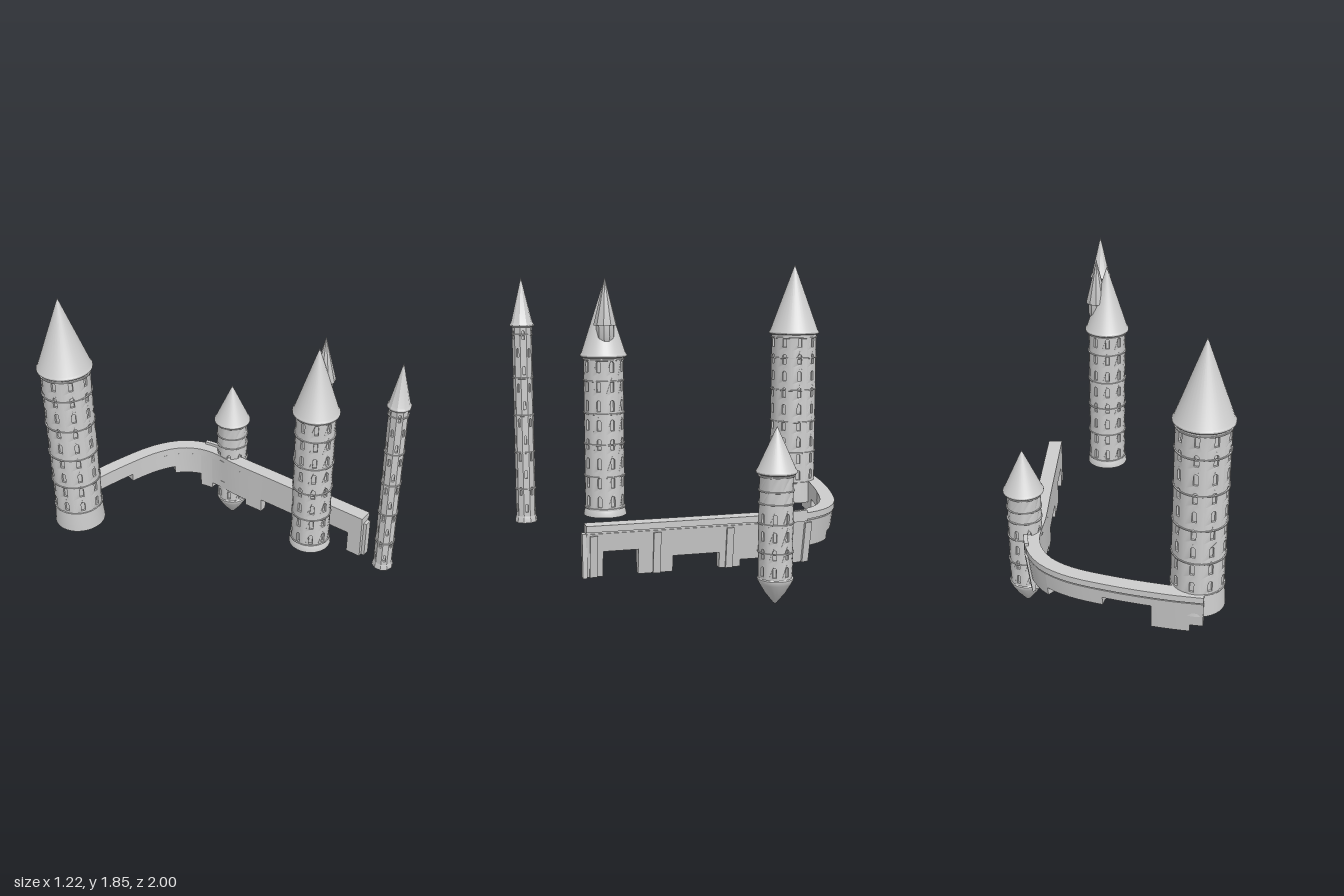
import * as THREE from 'three';
import { mergeGeometries, toCreasedNormals } from 'three/addons/utils/BufferGeometryUtils.js';

const grey = new THREE.MeshStandardMaterial({ color: 0xcccccc, side: THREE.DoubleSide });
const V2 = (x, y) => new THREE.Vector2(x, y);

function add(parent, name, geo, crease = 0.5) {
  const mesh = new THREE.Mesh(toCreasedNormals(geo, crease), grey);
  mesh.name = name;
  parent.add(mesh);
  return mesh;
}

function lathe(parent, name, pts, sides) {
  return add(parent, name, new THREE.LatheGeometry(pts.map(p => V2(...p)), sides));
}

// One wall panel with an optional arched window hole, bent round the tower or left flat
function bay(r, step, h, w, wh, hasWindow, flat) {
  const half = flat ? r * Math.sin(step / 2) : r * step / 2;
  const depth = 0.012;
  const s = new THREE.Shape();
  const xs = [-1, -0.5, 0, 0.5, 1].map(k => k * half);
  s.setFromPoints([...xs.map(x => V2(x, -h / 2)), ...xs.slice().reverse().map(x => V2(x, h / 2))]);
  if (hasWindow) {
    const hole = new THREE.Path();
    hole.moveTo(-w / 2, -wh / 2);
    hole.lineTo(-w / 2, wh / 2 - w / 2);
    hole.absarc(0, wh / 2 - w / 2, w / 2, Math.PI, 0, true);
    hole.lineTo(w / 2, -wh / 2);
    hole.closePath();
    s.holes.push(hole);
  }
  const g = new THREE.ExtrudeGeometry(s, { depth, bevelEnabled: false, curveSegments: 6 });
  if (flat) return g.translate(0, 0, r * Math.cos(step / 2) - depth);
  const p = g.attributes.position;
  for (let i = 0; i < p.count; i++) {
    const a = p.getX(i) / r, rho = r - depth + p.getZ(i);
    p.setXYZ(i, Math.sin(a) * rho, p.getY(i), Math.cos(a) * rho);
  }
  return g;
}

// Tower: foot, windowed wall, dark core behind the windows, string courses, roof
function tower(o) {
  const t = new THREE.Group();
  t.name = o.name;
  t.position.set(o.x, 0, o.z);
  const sides = o.flat ? o.n : 36;
  const step = Math.PI * 2 / o.n, h = (o.top - o.bottom) / o.rows;
  const panels = [];
  for (let row = 0; row < o.rows; row++) {
    for (let i = 0; i < o.n; i++) {
      const open = (!o.flat || (row + i) % 2 === 0) && row < (o.windowRows ?? o.rows);
      panels.push(bay(o.r, step, h, o.w, o.wh, open, o.flat)
        .rotateY(o.turn + i * step)
        .translate(0, o.bottom + (row + 0.5) * h, 0));
    }
  }
  add(t, 'wall', mergeGeometries(panels));
  lathe(t, 'core', [[o.r - 0.011, o.bottom], [o.r - 0.011, o.top]], sides);
  lathe(t, 'foot', o.foot, sides);
  for (const y of o.rings) {
    lathe(t, 'stringCourse', [[o.r - 0.003, y - 0.005], [o.r + 0.005, y - 0.003],
      [o.r + 0.005, y + 0.003], [o.r - 0.003, y + 0.005]], sides);
  }
  lathe(t, 'roof', [[0, o.top - 0.006], [o.roofR - 0.006, o.top - 0.006], [o.roofR, o.top],
    [o.roofR, o.top + 0.008], [o.roofR - 0.008, o.top + 0.02], [0, o.tip]], sides);
  return t;
}

// Sweeps a convex profile of [outward offset, y] along the wall path from s0 to s1
function sweep(path, s0, s1, profile) {
  const len = path.getLength(), steps = Math.max(1, Math.ceil((s1 - s0) / 0.05));
  const n = profile.length, pos = [], idx = [];
  for (let k = 0; k <= steps; k++) {
    const u = Math.min(1, (s0 + (s1 - s0) * k / steps) / len);
    const c = path.getPointAt(u), t = path.getTangentAt(u);
    for (const [off, y] of profile) pos.push(c.x + t.z * off, y, c.z - t.x * off);
  }
  for (let k = 0; k < steps; k++) {
    for (let i = 0; i < n; i++) {
      const a = k * n + i, b = k * n + (i + 1) % n;
      idx.push(a, b, b + n, a, b + n, a + n);
    }
  }
  const e = steps * n;
  for (let i = 1; i < n - 1; i++) idx.push(0, i + 1, i, e, e + i, e + i + 1);
  const g = new THREE.BufferGeometry();
  g.setAttribute('position', new THREE.Float32BufferAttribute(pos, 3));
  g.setIndex(idx);
  return g;
}

function curtainWall() {
  const wall = new THREE.Group();
  wall.name = 'curtainWall';
  const path = new THREE.CatmullRomCurve3([
    [-0.49, -0.96], [-0.31, -0.935], [-0.02, -0.87], [0.22, -0.79], [0.35, -0.7],
    [0.42, -0.59], [0.445, -0.47], [0.43, -0.28], [0.427, 0], [0.417, 0.66],
  ].map(([x, z]) => new THREE.Vector3(x, 0, z)), false, 'centripetal');
  const end = path.getLength();
  const outer = y => 0.038 - (0.45 - y) * 0.13;

  // Coping, shadow groove and stepped wall sections
  add(wall, 'coping', sweep(path, 0, end, [[-0.04, 0.46], [0.044, 0.46], [0.044, 0.495], [-0.04, 0.495]]));
  add(wall, 'groove', sweep(path, 0, end, [[-0.04, 0.448], [0.032, 0.448], [0.032, 0.462], [-0.04, 0.462]]));
  const sections = [[0.07, 0.30], [0.27, 0.255], [0.53, 0.40], [0.855, 0.35], [1.05, 0.30],
    [1.14, 0.21], [1.425, 0.25], [1.545, 0.21], [1.805, 0.30], [1.995, 0.21], [2.185, 0.35], [end, 0.21]];
  let from = 0;
  for (const [to, y] of sections) {
    add(wall, 'wallSection', sweep(path, from, to,
      [[-0.04, y], [outer(y), y], [outer(0.45), 0.45], [-0.04, 0.45]]));
    from = to;
  }
  // Sloping buttresses on the outer face
  for (const s of [1.05, 1.49, 1.895, end - 0.04]) {
    add(wall, 'buttress', sweep(path, s - 0.02, s + 0.02,
      [[0, 0.21], [outer(0.21) + 0.012, 0.21], [outer(0.44) + 0.012, 0.44], [0, 0.44]]));
  }
  add(wall, 'raisedBlock', sweep(path, 1.06, 1.14, [[0.025, 0.45], [0.048, 0.45], [0.048, 0.512], [0.025, 0.512]]));
  // End pier under the free end
  const pier = add(wall, 'endPier', new THREE.BoxGeometry(0.045, 0.24, 0.025));
  pier.position.set(0.423, 0.33, 0.667);
  return wall;
}

export function createModel() {
  const model = new THREE.Group();
  model.name = 'castleTowers';
  const deg = Math.PI / 180;

  model.add(tower({
    name: 'greatTower', x: -0.457, z: -0.835, r: 0.141, n: 9, rows: 9, turn: 5 * deg,
    bottom: 0.488, top: 1.425, tip: 1.85, roofR: 0.157, w: 0.024, wh: 0.06,
    rings: [0.49, 0.68, 0.875, 1.075, 1.275, 1.4],
    foot: [[0, 0.364], [0.151, 0.364], [0.147, 0.42], [0.141, 0.49]],
  }));

  const middle = tower({
    name: 'middleTower', x: 0.072, z: 0.485, r: 0.11, n: 9, rows: 8, turn: 24 * deg,
    bottom: 0.5, top: 1.352, tip: 1.74, roofR: 0.129, w: 0.022, wh: 0.06,
    rings: [0.51, 0.69, 0.87, 1.04, 1.22, 1.335],
    foot: [[0, 0.467], [0.12, 0.467], [0.117, 0.485], [0.11, 0.502]],
  });
  // Small turret growing out of the middle tower's roof
  const turret = new THREE.Group();
  turret.name = 'turret';
  turret.position.set(0.06, 0, 0);
  lathe(turret, 'turretBody', [[0, 1.37], [0.028, 1.4], [0.05, 1.46], [0.05, 1.53]], 10);
  lathe(turret, 'turretRoof', [[0, 1.522], [0.063, 1.522], [0.063, 1.53], [0, 1.78]], 10);
  middle.add(turret);
  model.add(middle);

  model.add(tower({
    name: 'slenderTower', x: 0.132, z: 0.933, r: 0.053, n: 10, rows: 11, turn: 18 * deg, flat: true,
    bottom: 0.5, top: 1.525, tip: 1.78, roofR: 0.064, w: 0.013, wh: 0.045,
    rings: [0.65, 0.85, 1.05, 1.25, 1.48],
    foot: [[0, 0.467], [0.06, 0.467], [0.058, 0.485], [0.053, 0.502]],
  }));

  model.add(tower({
    name: 'hangingTower', x: 0.497, z: -0.376, r: 0.095, n: 8, rows: 6, windowRows: 4, turn: 22 * deg,
    bottom: 0.15, top: 0.738, tip: 0.99, roofR: 0.113, w: 0.02, wh: 0.055,
    rings: [0.3, 0.46, 0.57, 0.64, 0.72],
    foot: [[0, 0], [0.012, 0.01], [0.058, 0.068], [0.09, 0.122], [0.1, 0.142], [0.1, 0.15], [0.095, 0.156]],
  }));

  model.add(curtainWall());
  return model;
}
